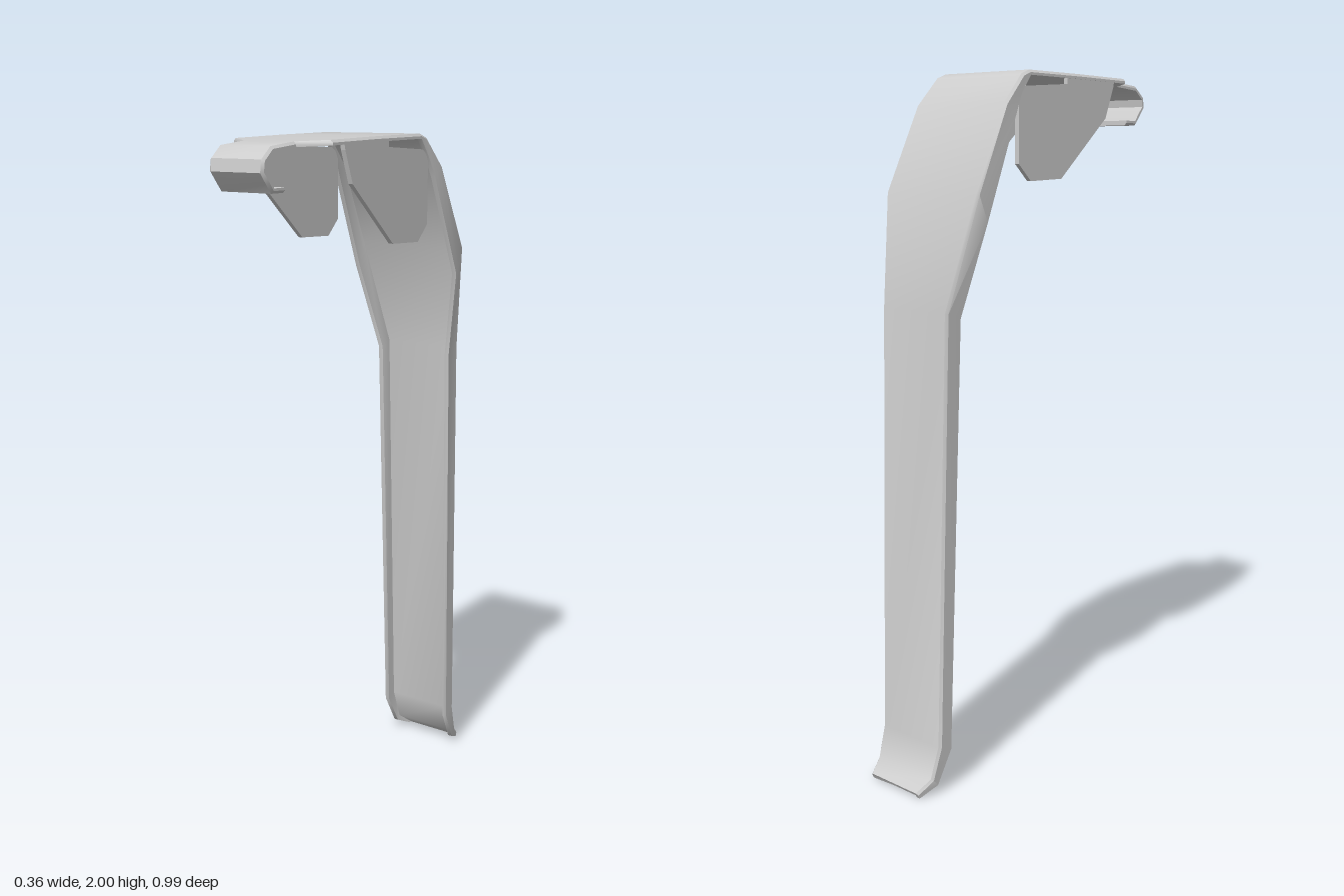
import * as THREE from 'three';
import { toCreasedNormals } from 'three/addons/utils/BufferGeometryUtils.js';

const T = 0.014; // sheet thickness
const B = 0.007; // bevel on the long outer edges

// Stations along the bent sheet: outer z, y, half width, then (where folded) the flange edge z, y
const hook = [
  [0.407, 1.863, 0.088], [0.455, 1.863, 0.088], [0.474, 1.886, 0.088], [0.497, 1.915, 0.088],
  [0.492, 1.948, 0.088], [0.455, 1.979, 0.088], [0.36, 1.988, 0.088],
];
const plate = [[0.36, 1.988, 0.088], [0.305, 1.992, 0.163], [0.1, 1.997, 0.165], [-0.106, 2.0, 0.168]];
const handle = [
  [-0.106, 2.0, 0.168],
  [-0.138, 1.988, 0.169, -0.143, 1.936],
  [-0.21, 1.91, 0.174, -0.17, 1.88],
  [-0.323, 1.672, 0.18, -0.286, 1.598],
  [-0.39, 1.36, 0.128, -0.338, 1.344],
  [-0.423, 0.143, 0.12, -0.38, 0.127],
  [-0.45, 0.053, 0.115, -0.428, 0.032],
  [-0.492, 0.021, 0.098, -0.483, 0.005],
];
const path = [...hook, ...plate.slice(1), ...handle.slice(1)];

// Cross-section of the folded sheet at one station, as a loop of points
function section(i) {
  const [z, y, w, fz, fy] = path[i];
  const a = path[Math.max(i - 1, 0)], b = path[Math.min(i + 1, path.length - 1)];
  const dir = new THREE.Vector2(b[0] - a[0], b[1] - a[1]).normalize();
  const n = [-dir.y, dir.x]; // towards the inside of the bend
  const lip = fz === undefined ? [n[0] * T, n[1] * T] : [fz - z, fy - y];
  const at = (x, d) => [x, y + n[1] * d, z + n[0] * d];
  const edge = (x) => [x, y + lip[1], z + lip[0]];
  return [
    at(-w + B, 0), at(w - B, 0), at(w, B), edge(w), edge(w - T),
    at(w - T, T), at(-w + T, T), edge(-w + T), edge(-w), at(-w, B),
  ];
}

// Join the cross-sections into one closed skin
function sheetGeometry() {
  const rings = path.map((_, i) => section(i));
  const n = rings[0].length, index = [];
  for (let i = 0; i < rings.length - 1; i++) {
    for (let j = 0; j < n; j++) {
      const a = i * n + j, b = i * n + (j + 1) % n;
      index.push(a, b, b + n, a, b + n, a + n);
    }
  }
  const last = (rings.length - 1) * n;
  for (let j = 1; j < n - 1; j++) {
    index.push(0, j + 1, j, last, last + j, last + j + 1);
  }
  const geo = new THREE.BufferGeometry();
  geo.setAttribute('position', new THREE.Float32BufferAttribute(rings.flat(2), 3));
  geo.setIndex(index);
  return toCreasedNormals(geo, 0.7);
}

// Side ear outline in z, y, with a relief slot under the plate near the bend
function earGeometry() {
  const outline = [
    [0.254, 1.982], [0.25, 1.965], [0.217, 1.878], [0.026, 1.709], [-0.1, 1.704], [-0.148, 1.75],
    [-0.148, 1.925], [-0.138, 1.945], [-0.12, 1.957], [0.05, 1.968], [0.05, 1.988],
  ];
  const shape = new THREE.Shape(outline.map(([z, y]) => new THREE.Vector2(-z, y)));
  const geo = new THREE.ExtrudeGeometry(shape, { depth: T, bevelEnabled: false });
  geo.translate(0, 0, -T / 2);
  return geo.rotateY(Math.PI / 2);
}

export function createModel() {
  const group = new THREE.Group();
  group.name = 'leverClip';
  const material = new THREE.MeshStandardMaterial({ color: 0xcccccc, side: THREE.DoubleSide });

  const sheet = new THREE.Mesh(sheetGeometry(), material);
  sheet.name = 'hookPlateAndHandle';
  group.add(sheet);

  // Pair of ears folded down from the plate
  const ear = earGeometry();
  for (const side of [1, -1]) {
    const mesh = new THREE.Mesh(ear, material);
    mesh.name = side > 0 ? 'leftEar' : 'rightEar';
    mesh.position.x = side * 0.156;
    group.add(mesh);
  }
  return group;
}
